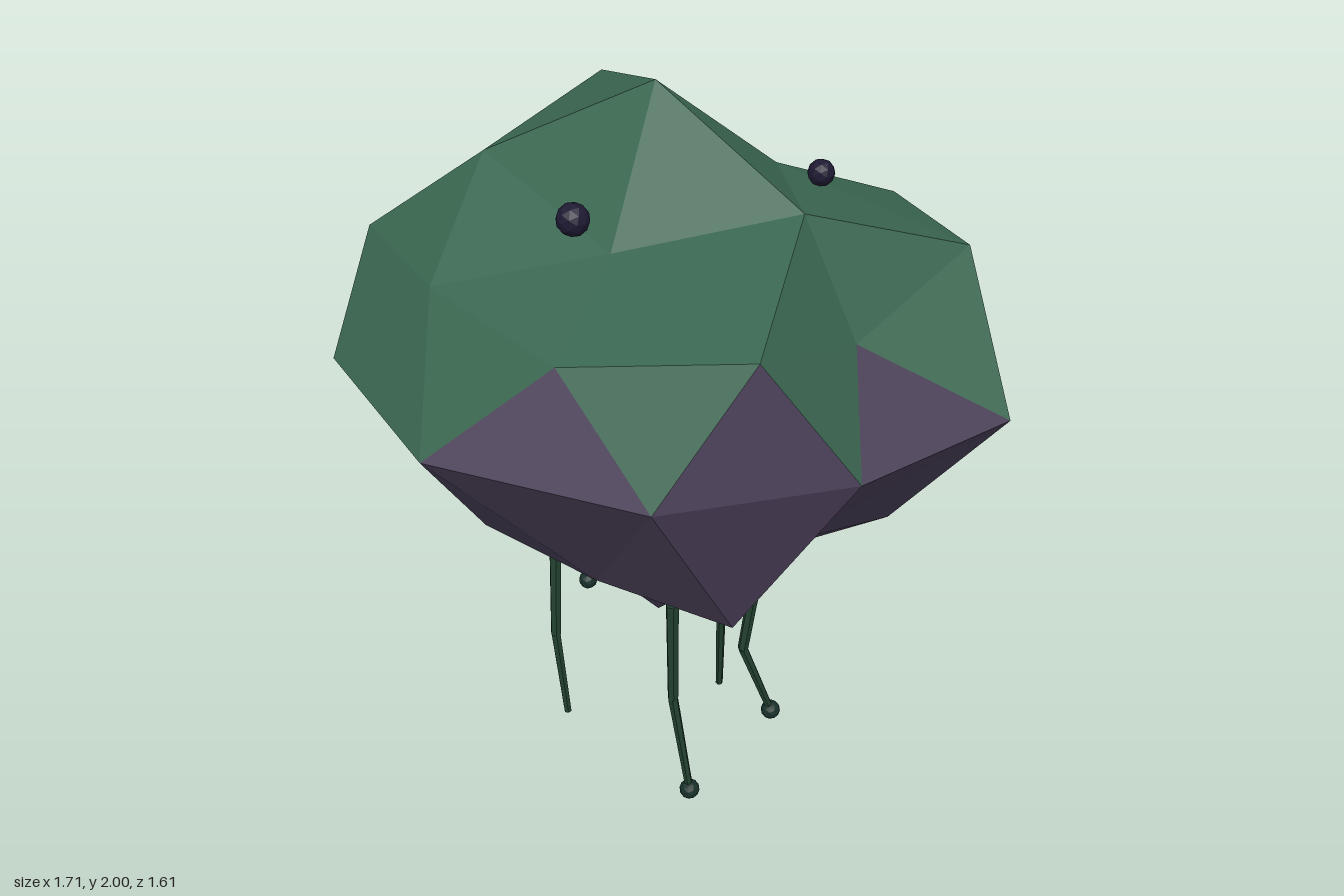
import * as THREE from 'three';

const paint = (color, side = THREE.FrontSide) =>
  new THREE.MeshStandardMaterial({ color, side, flatShading: true });
const moss = paint(0x3a6650), rock = paint(0x4a4058);
const stem = paint(0x22402f), foot = paint(0x18302a), bead = paint(0x1e1a33);

const CENTER = new THREE.Vector3(-0.03, 1.33, 0.02);

// A ring of body points: width and height factors, first angle, and one radius per point.
function ring(width, height, startDeg, radii) {
  return radii.map((r, i) => {
    const a = THREE.MathUtils.degToRad(startDeg + (i * 360) / radii.length);
    return new THREE.Vector3(1.2 * width * r * Math.cos(a), height * r, width * r * Math.sin(a)).add(CENTER);
  });
}

// Flat-faced mesh; each triangle is turned to face away from the body centre.
function facets(name, triangles, material) {
  const points = [];
  for (const [a, b, c] of triangles) {
    const n = new THREE.Vector3().subVectors(b, a).cross(new THREE.Vector3().subVectors(c, a));
    const out = new THREE.Vector3().add(a).add(b).add(c).divideScalar(3).sub(CENTER);
    points.push(...(n.dot(out) > 0 ? [a, b, c] : [a, c, b]));
  }
  const geometry = new THREE.BufferGeometry().setFromPoints(points);
  geometry.computeVertexNormals();
  const mesh = new THREE.Mesh(geometry, material);
  mesh.name = name;
  return mesh;
}

// One half of the boulder, from its tip down (or up) to the shared rim.
function half(tip, inner, corner, between, rim, shift) {
  const cap = [], sides = [], gaps = [], teeth = [];
  const E = (i) => rim[(i + shift + 10) % 10];
  for (let k = 0; k < 5; k++) {
    const n = (k + 1) % 5;
    cap.push([tip, inner[k], inner[n]], [inner[k], inner[n], between[k]],
      [inner[k], corner[k], between[k]], [inner[n], corner[n], between[k]]);
    sides.push([corner[k], between[k], E(2 * k)], [corner[n], between[k], E(2 * k + 1)]);
    gaps.push([between[k], E(2 * k), E(2 * k + 1)]);
    teeth.push([corner[k], E(2 * k - 1), E(2 * k)]);
  }
  return { cap, sides, gaps, teeth };
}

function boulder() {
  const rim = ring(1, 0, 18, [0.684, 0.737, 0.78, 0.752, 0.727, 0.64, 0.65, 0.83, 0.68, 0.771]);
  const top = half(
    new THREE.Vector3(-0.03, 2, 0.02),
    ring(0.526, 0.664, 0, [0.697, 0.54, 0.71, 0.82, 0.62]),
    ring(0.894, 0.349, 0, [0.56, 0.67, 0.726, 0.726, 0.765]),
    ring(0.851, 0.41, 36, [0.75, 0.667, 0.685, 0.618, 0.775]), rim, 0);
  const bottom = half(
    new THREE.Vector3(-0.03, 0.46, 0.02),
    ring(0.38, -1.48, 36, [0.46, 0.45, 0.43, 0.46, 0.46]),
    ring(0.894, -0.778, 36, [0.6, 0.54, 0.575, 0.56, 0.61]),
    ring(0.851, -0.915, 72, [0.5, 0.56, 0.55, 0.555, 0.45]), rim, 1);

  // Moss covers the cap and spills over most sides and one gap.
  const bareSides = [5, 6, 8];
  const mossy = [...top.cap, top.gaps[1], ...top.sides.filter((_, i) => !bareSides.includes(i))];
  const bare = [...top.teeth, ...top.gaps.filter((_, i) => i !== 1), ...bareSides.map((i) => top.sides[i]),
    ...Object.values(bottom).flat()];
  const group = new THREE.Group();
  group.name = 'boulder';
  group.add(facets('mossCap', mossy, moss), facets('bareRock', bare, rock));
  return group;
}

function ball(name, [x, y, z], radius, material) {
  const mesh = new THREE.Mesh(new THREE.IcosahedronGeometry(radius, 1), material);
  mesh.name = name;
  mesh.position.set(x, y, z);
  return mesh;
}

// Tapered six-sided rod between two points.
function rod(name, from, to, r0, r1) {
  const a = new THREE.Vector3(...from), b = new THREE.Vector3(...to);
  const dir = new THREE.Vector3().subVectors(b, a);
  const mesh = new THREE.Mesh(new THREE.CylinderGeometry(r1, r0, dir.length(), 6), stem);
  mesh.name = name;
  mesh.position.addVectors(a, b).multiplyScalar(0.5);
  mesh.quaternion.setFromUnitVectors(new THREE.Vector3(0, 1, 0), dir.normalize());
  return mesh;
}

// Hanging legs: hip, knee, end, and whether a foot ball is present.
const LEGS = [
  [[-0.34, 0.77, -0.08], [-0.365, 0.55, -0.05], [-0.373, 0.355, -0.04], true],
  [[-0.21, 0.73, 0.24], [-0.197, 0.43, 0.268], [-0.175, 0.145, 0.257], false],
  [[-0.005, 0.73, -0.238], [0.01, 0.31, -0.215], [-0.025, 0.002, -0.257], false],
  [[0.25, 0.76, -0.088], [0.225, 0.41, -0.05], [0.277, 0.163, -0.123], true],
  [[0.215, 0.73, 0.238], [0.222, 0.42, 0.243], [0.27, 0.105, 0.228], true],
];

export function createModel() {
  const model = new THREE.Group();
  model.name = 'mossyBoulder';
  model.add(boulder());

  // Floating beads
  model.add(ball('frontBead', [0.04, 1.787, 0.37], 0.039, bead));
  model.add(ball('backBead', [0.283, 1.787, -0.213], 0.033, bead));

  LEGS.forEach(([hip, knee, end, hasFoot], i) => {
    const leg = new THREE.Group();
    leg.name = `leg${i + 1}`;
    leg.add(rod('upperLeg', hip, knee, 0.018, 0.015), rod('lowerLeg', knee, end, 0.014, 0.011));
    if (hasFoot) leg.add(ball('foot', end, 0.028, foot));
    model.add(leg);
  });
  return model;
}
